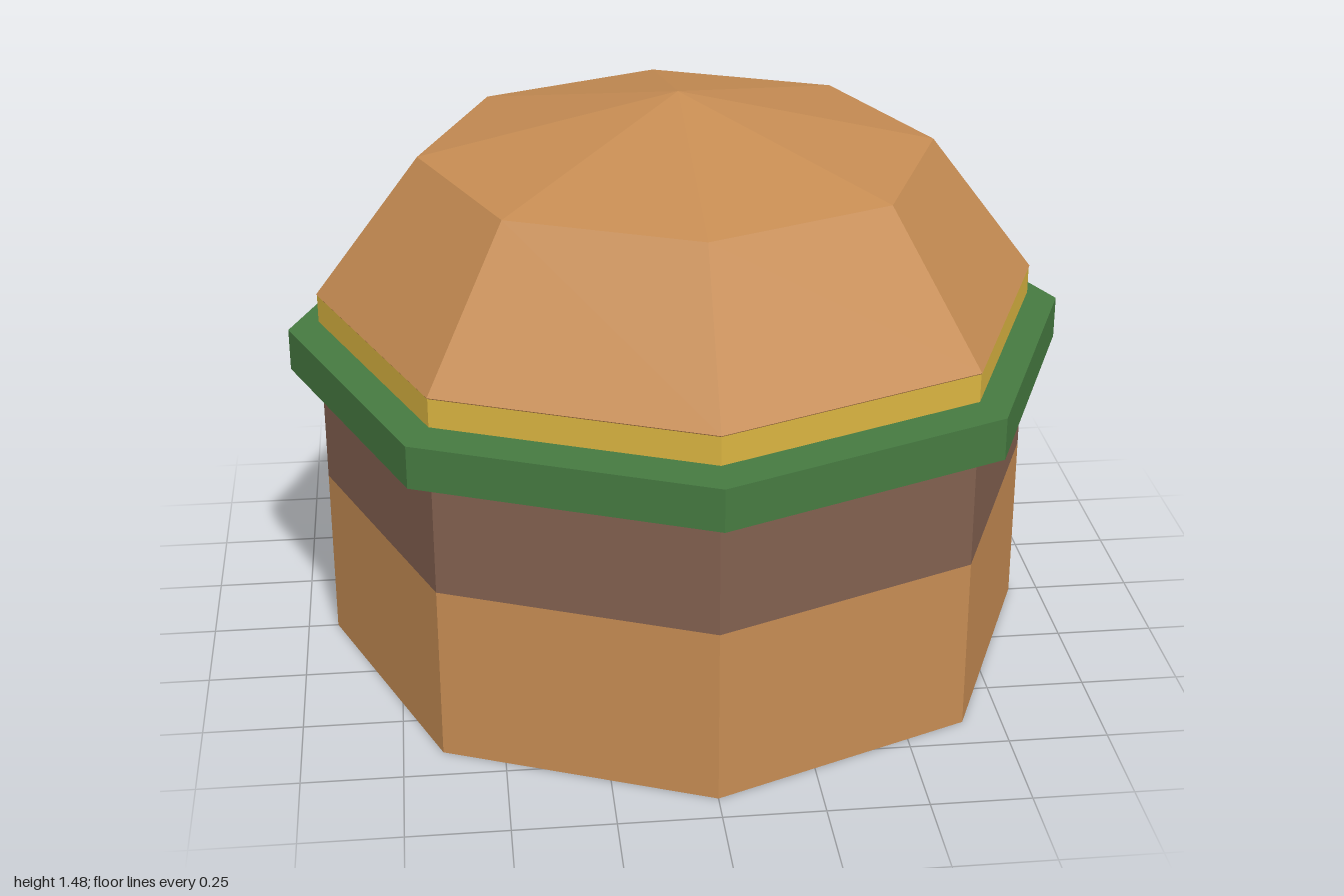
import * as THREE from 'three';

const SIDES = 8;

function material(name, color) {
  const m = new THREE.MeshStandardMaterial({ color, flatShading: true });
  m.name = name;
  return m;
}

export function createModel() {
  const bun = material('bun brown', 0xc68c53);
  const patty = material('patty brown', 0x82604f);
  const lettuce = material('lettuce green', 0x467a41);
  const cheese = material('cheese yellow', 0xdab441);

  const group = new THREE.Group();
  group.name = 'burger';

  // Stacked octagonal layers: name, material, radius, bottom, top
  const layers = [
    ['bottomBun', bun, 0.922, 0, 0.452],
    ['patty', patty, 0.922, 0.452, 0.742],
    ['lettuce', lettuce, 1, 0.763, 0.872],
    ['cheese', cheese, 0.922, 0.892, 0.967],
  ];
  for (const [name, mat, radius, bottom, top] of layers) {
    const mesh = new THREE.Mesh(
      new THREE.CylinderGeometry(radius, radius, top - bottom, SIDES), mat);
    mesh.name = name;
    mesh.position.y = (bottom + top) / 2;
    group.add(mesh);
  }

  // Top bun: a squashed low-poly ball whose lower half shows in the gaps
  const topBun = new THREE.Mesh(new THREE.SphereGeometry(1, SIDES, 4), bun);
  topBun.name = 'topBun';
  topBun.scale.set(0.924, 0.508, 0.924);
  topBun.position.y = 0.967;
  group.add(topBun);

  return group;
}
